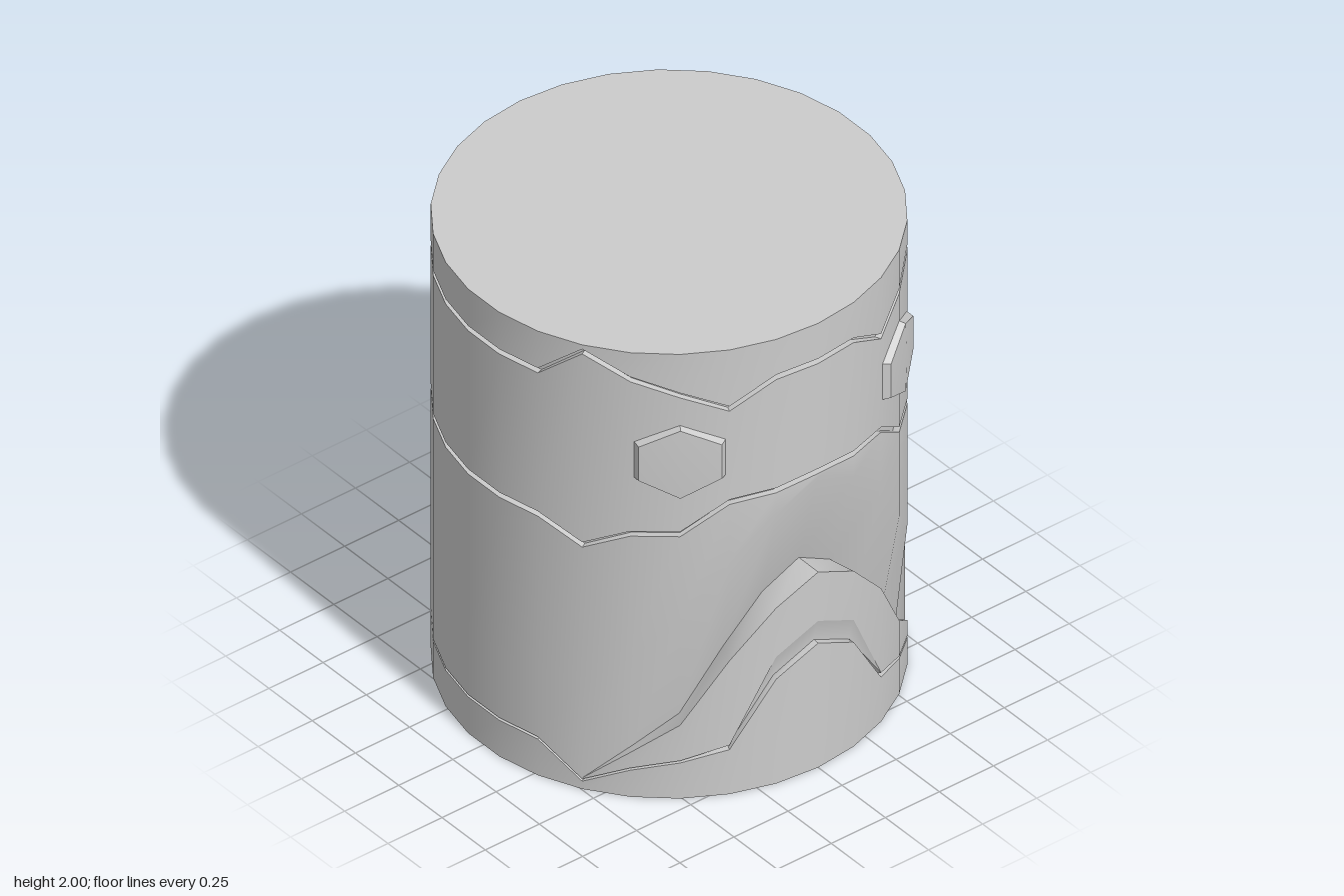
import * as THREE from 'three';
import { toCreasedNormals } from 'three/addons/utils/BufferGeometryUtils.js';

const R = 0.862, SIDES = 30, DEPTH = 0.025, GAP = 0.011;

// Heights at 0, 12, 24 ... degrees away from the face centre (+x); the last value runs round the back
const MOUTH_LOW = [0.56, 0.47, 0.2, 0.16, 0.12, 0.035, 0.163];
const MOUTH_TOP = [0.66, 0.57, 0.22, 0.17, 0.13, 0.045, 0.174];
const LEDGE = [0.88, 0.79, 0.6, 0.33, 0.2, 0.05, 0.19];
const LEDGE_R = [0.75, 0.75, 0.77, 0.79, 0.82, R, R];
const CHEEK = [1.31, 1.215, 1.05, 0.8, 0.63, 0.48, 0.48];
const BROW_LOW = [1.335, 1.32, 1.315, 1.19, 1.185, 1.1, 1.178];
const BROW_TOP = [1.83, 1.83, 1.735, 1.815, 1.88, 1.97, 1.823];

const material = new THREE.MeshStandardMaterial({ color: 0xcccccc });

function point(angle, r, y) {
  return new THREE.Vector3(r * Math.cos(angle), y, r * Math.sin(angle));
}

// Four profile points of a thin square groove
function groove(y) {
  return [[R, y - GAP], [R - DEPTH, y - GAP], [R - DEPTH, y + GAP], [R, y + GAP]];
}

// Profile (radius, height) from bottom to top for one column of the drum
function profile(column) {
  const k = Math.min(column, SIDES - column, 6);
  return [
    [R, 0],
    [R, MOUTH_LOW[k]], [R - DEPTH, MOUTH_LOW[k] + 0.002],
    [R - DEPTH, k < 3 ? MOUTH_LOW[k] + 0.006 : MOUTH_TOP[k] - 0.001], [R, MOUTH_TOP[k]],
    [R, LEDGE[k]], [LEDGE_R[k], LEDGE[k] + 0.001], [R, CHEEK[k]],
    ...groove(BROW_LOW[k]),
    ...groove(BROW_TOP[k]),
    [R, 2],
  ];
}

function meshFromTriangles(name, triangles, crease) {
  const solid = triangles.filter((t) => new THREE.Triangle(...t).getArea() > 1e-7);
  const geometry = new THREE.BufferGeometry().setFromPoints(solid.flat());
  const mesh = new THREE.Mesh(toCreasedNormals(geometry, crease), material);
  mesh.name = name;
  return mesh;
}

// Skin between two profile rows, all the way round
function band(name, firstRow, lastRow) {
  const columns = Array.from({ length: SIDES }, (_, i) =>
    profile(i).map(([r, y]) => point((i / SIDES) * Math.PI * 2, r, y)));
  const triangles = [];
  for (let i = 0; i < SIDES; i++) {
    const a = columns[i], b = columns[(i + 1) % SIDES];
    for (let j = firstRow; j < lastRow; j++) {
      triangles.push([a[j], a[j + 1], b[j]], [b[j], a[j + 1], b[j + 1]]);
    }
  }
  return meshFromTriangles(name, triangles, 0.6);
}

function cap(name, y, up) {
  const triangles = [];
  const centre = new THREE.Vector3(0, y, 0);
  for (let i = 0; i < SIDES; i++) {
    const a = point((i / SIDES) * Math.PI * 2, R, y);
    const b = point(((i + 1) / SIDES) * Math.PI * 2, R, y);
    triangles.push(up ? [centre, b, a] : [centre, a, b]);
  }
  return meshFromTriangles(name, triangles, 0.1);
}

// Raised hexagonal eye, bent to follow the drum
function eye(name, centreAngle) {
  const corners = [[0, 1], [1, 0.5], [1, -0.5], [0, -1], [-1, -0.5], [-1, 0.5]];
  const ring = (halfDegrees, halfHeight, r) => corners.map(([u, v]) =>
    point(centreAngle + THREE.MathUtils.degToRad(u * halfDegrees), r, 1.52 + v * halfHeight));
  const base = ring(11.8, 0.165, R - 0.015);
  const rim = ring(9.8, 0.152, 0.886);
  const centre = point(centreAngle, 0.89, 1.52);
  const triangles = [];
  for (let i = 0; i < 6; i++) {
    const n = (i + 1) % 6;
    triangles.push([base[i], rim[i], base[n]], [base[n], rim[i], rim[n]]);
    triangles.push([centre, rim[n], rim[i]]);
  }
  // Corners run clockwise seen from outside, so turn each face outward
  const out = point(centreAngle, 0.8, 1.52);
  for (const t of triangles) {
    const face = new THREE.Triangle(...t);
    const away = face.getMidpoint(new THREE.Vector3()).sub(out);
    if (face.getNormal(new THREE.Vector3()).dot(away) < 0) t.reverse();
  }
  return meshFromTriangles(name, triangles, 0.6);
}

export function createModel() {
  const group = new THREE.Group();
  group.name = 'facedDrum';
  group.add(
    cap('bottomCap', 0, false),
    band('baseBand', 0, 1),
    band('mouthGroove', 1, 4),
    band('beakAndCheeks', 4, 8),
    band('lowerBrowGroove', 8, 11),
    band('eyeBand', 11, 12),
    band('upperBrowGroove', 12, 15),
    band('topBand', 15, 16),
    cap('topCap', 2, true),
  );
  const eyeAngle = THREE.MathUtils.degToRad(36);
  group.add(eye('frontEye', eyeAngle), eye('backEye', -eyeAngle));
  return group;
}
